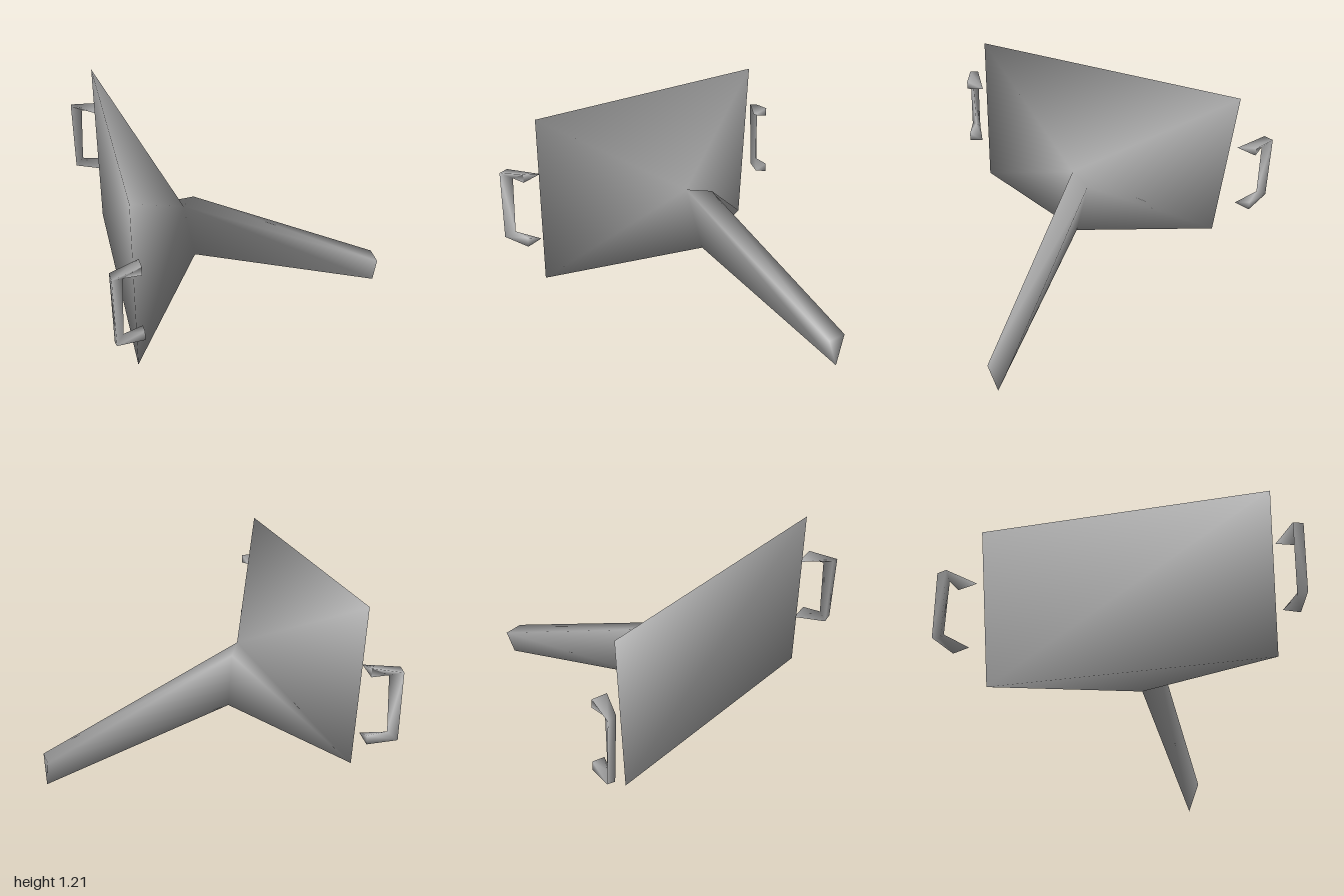
import * as THREE from 'three';

// Smooth indexed mesh from a few corners and triangles
function smoothMesh(name, points, faces, material) {
  const g = new THREE.BufferGeometry();
  g.setAttribute('position', new THREE.Float32BufferAttribute(points.flat(), 3));
  // keep the corners counter-clockwise from outside
  const p = points.map(a => new THREE.Vector3(...a));
  let volume = 0;
  for (const [a, b, c] of faces) volume += p[a].dot(p[b].clone().cross(p[c]));
  g.setIndex(faces.flatMap(([a, b, c]) => (volume > 0 ? [a, b, c] : [a, c, b])));
  g.computeVertexNormals();
  const mesh = new THREE.Mesh(g, material);
  mesh.name = name;
  return mesh;
}

// Joins triangular cross-sections and caps both ends
function loft(sections) {
  const faces = [[0, 2, 1]];
  for (let s = 0; s < sections.length - 1; s++) {
    for (let i = 0; i < 3; i++) {
      const a = s * 3 + i, b = s * 3 + (i + 1) % 3;
      faces.push([a, b, b + 3], [a, b + 3, a + 3]);
    }
  }
  const e = (sections.length - 1) * 3;
  faces.push([e, e + 1, e + 2]);
  return faces;
}

export function createModel() {
  const group = new THREE.Group();
  const grey = new THREE.MeshStandardMaterial({ color: 0xb0b0b0 });
  grey.name = 'grey';

  // Flared plate narrowing to a long three-sided spout
  const body = [
    [-0.72, 1.21, 0.82], [-0.72, 1.21, -0.81], [-0.72, 0.25, -0.72], [-0.72, 0.24, 0.82], // plate
    [-0.33, 0.71, 0.06], [-0.25, 0.69, -0.07], [-0.26, 0.34, 0], // neck
    [0.85, 0.17, 0.06], [0.85, 0.17, -0.06], [0.85, 0, 0], // tip
  ];
  const bodyFaces = [
    [0, 1, 2], [0, 2, 3], // back
    [0, 4, 1], [0, 3, 4], [3, 6, 4], [1, 4, 2], [4, 5, 2], [5, 6, 2], [3, 2, 6], // flare
    [5, 4, 7], [5, 7, 8], [4, 6, 9], [4, 9, 7], [6, 5, 8], [6, 8, 9], // spout
    [8, 7, 9], // tip cap
  ];
  group.add(smoothMesh('flaredBody', body, bodyFaces, grey));

  // Bent side handles with a triangular section, mirrored front to back
  const sections = [
    [[-0.69, 0.925, 0.94], [-0.69, 0.875, 0.94], [-0.69, 0.9, 0.83]],
    [[-0.845, 0.905, 0.998], [-0.785, 0.878, 0.95], [-0.85, 0.915, 0.945]],
    [[-0.84, 0.515, 0.998], [-0.8, 0.548, 0.95], [-0.845, 0.5, 0.945]],
    [[-0.69, 0.485, 0.94], [-0.69, 0.538, 0.94], [-0.69, 0.51, 0.85]],
  ];
  for (const side of [1, -1]) {
    const points = sections.flat().map(([x, y, z]) => [x, y, z * side]);
    group.add(smoothMesh(side > 0 ? 'frontHandle' : 'backHandle', points, loft(sections), grey));
  }
  return group;
}
